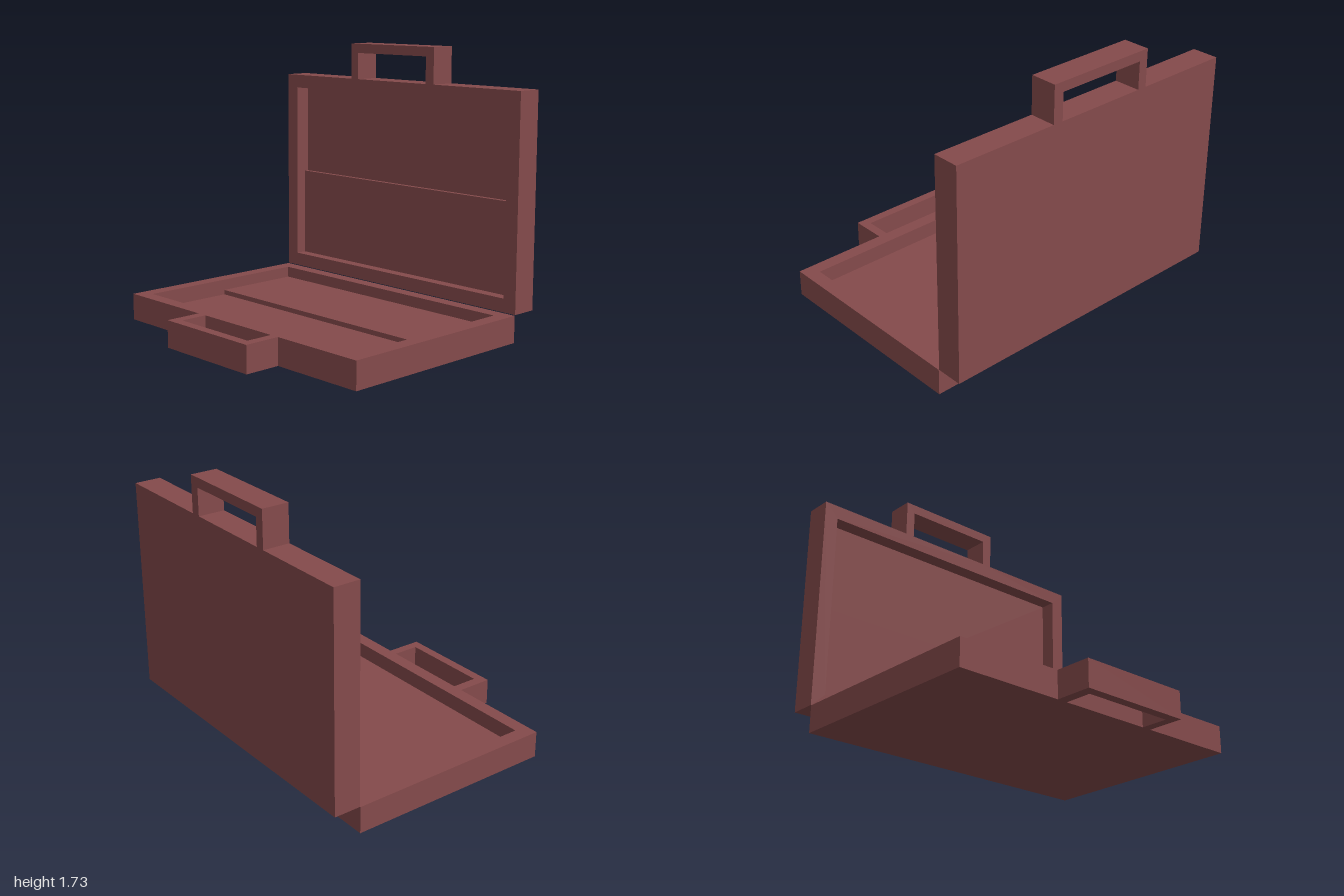
import * as THREE from 'three';

const THICK = 0.167; // thickness of one half of the case
const HEIGHT = 1.33; // from hinge edge to handle edge

function rectPath(x0, y0, x1, y1) {
  return new THREE.Path([[x0, y0], [x0, y1], [x1, y1], [x1, y0]].map(p => new THREE.Vector2(...p)));
}

// One half of the case: hinge edge on y = 0, handle at +y, open side facing +z
function makeHalf(name, material) {
  const half = new THREE.Group();
  half.name = name;

  // Rim and handle in one outline, pierced by the recess and the grip opening
  const outline = new THREE.Shape([
    [-1, 0], [1, 0], [1, HEIGHT], [0.33, HEIGHT], [0.33, 1.56],
    [-0.383, 1.56], [-0.383, HEIGHT], [-1, HEIGHT],
  ].map(p => new THREE.Vector2(...p)));
  outline.holes.push(rectPath(-0.91, 0.085, 0.91, 1.243));
  outline.holes.push(rectPath(-0.323, HEIGHT, 0.265, 1.5));
  const rim = new THREE.Mesh(
    new THREE.ExtrudeGeometry(outline, { depth: THICK, bevelEnabled: false }), material);
  rim.name = name + 'RimAndHandle';
  half.add(rim);

  const slab = (part, y0, y1, z0, z1) => {
    const mesh = new THREE.Mesh(new THREE.BoxGeometry(1.82, y1 - y0, z1 - z0), material);
    mesh.position.set(0, (y0 + y1) / 2, (z0 + z1) / 2);
    mesh.name = name + part;
    half.add(mesh);
  };
  // Outer wall of the shell, and the raised pocket beside the hinge
  slab('Floor', 0.085, 1.243, 0, 0.067);
  slab('Pocket', 0.085, 0.66, 0.067, 0.097);
  return half;
}

export function createModel() {
  const model = new THREE.Group();
  model.name = 'openBriefcase';
  const material = new THREE.MeshStandardMaterial({ color: 0x844a4b, flatShading: true });

  // Upright lid at the back
  const lid = makeHalf('lid', material);
  lid.position.set(0, 0.17, -0.866);

  // Base lying flat, handle towards the front
  const base = makeHalf('base', material);
  base.rotation.set(-Math.PI / 2, 0, Math.PI);
  base.position.z = -0.695;

  model.add(lid, base);
  return model;
}
